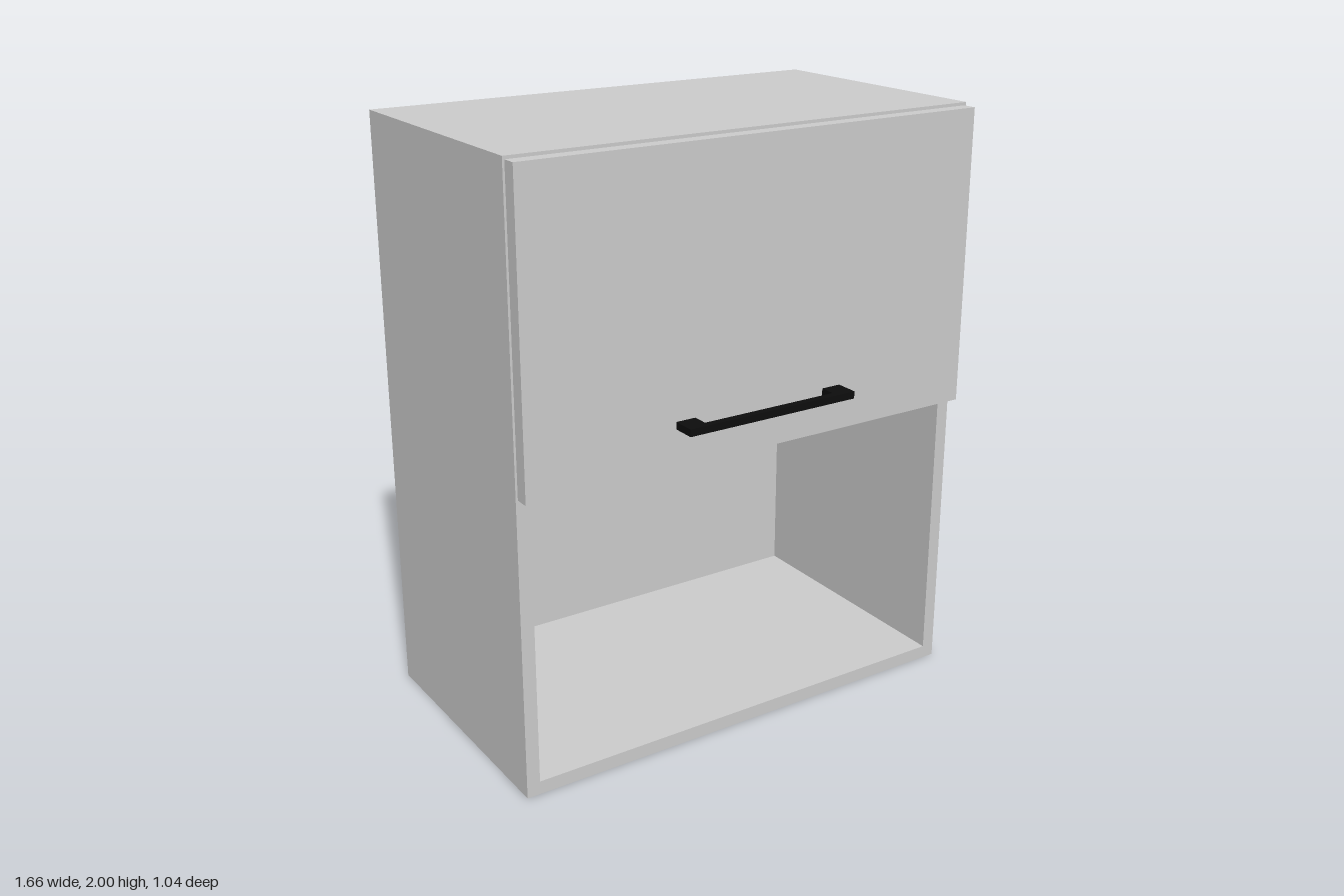
import * as THREE from 'three';

const W = 1.66, H = 2, T = 0.045;        // carcass width, height, board thickness
const BACK = -0.52, FRONT = 0.395;       // carcass depth limits
const SHEET = 0.01;                      // back sheet thickness

const grey = new THREE.MeshStandardMaterial({ color: 0xcccccc });
const black = new THREE.MeshStandardMaterial({ color: 0x0d0d0d });

// Box given by its limits along each axis
function board(name, [x0, x1], [y0, y1], [z0, z1], material = grey) {
  const mesh = new THREE.Mesh(new THREE.BoxGeometry(x1 - x0, y1 - y0, z1 - z0), material);
  mesh.position.set((x0 + x1) / 2, (y0 + y1) / 2, (z0 + z1) / 2);
  mesh.name = name;
  return mesh;
}

export function createModel() {
  const cabinet = new THREE.Group();
  cabinet.name = 'wallCabinet';
  const depth = [BACK + SHEET, FRONT];
  const inner = [-W / 2 + T, W / 2 - T];

  // Carcass: two sides, with bottom, shelf and top between them
  cabinet.add(board('leftSide', [W / 2 - T, W / 2], [0, H], depth));
  cabinet.add(board('rightSide', [-W / 2, -W / 2 + T], [0, H], depth));
  for (const [name, y] of [['bottom', 0], ['shelf', 0.98], ['top', H - T]]) {
    cabinet.add(board(name, inner, [y, y + T], depth));
  }

  // Thin back sheet, slightly smaller than the carcass
  cabinet.add(board('backSheet', [-W / 2 + 0.005, W / 2 - 0.005], [0.005, H - 0.008], [BACK, BACK + SHEET]));

  // Lift-up door covering the upper compartment
  const doorFace = 0.443;
  cabinet.add(board('door', [-0.823, 0.823], [1.003, 1.99], [FRONT, doorFace]));

  // Handle: flat bar on two square posts
  const handle = new THREE.Group();
  handle.name = 'handle';
  const y = [1.13, 1.154];
  handle.add(board('handleBar', [-0.31, 0.31], y, [0.495, 0.52], black));
  handle.add(board('leftPost', [0.242, 0.31], y, [doorFace, 0.495], black));
  handle.add(board('rightPost', [-0.31, -0.242], y, [doorFace, 0.495], black));
  cabinet.add(handle);

  return cabinet;
}
